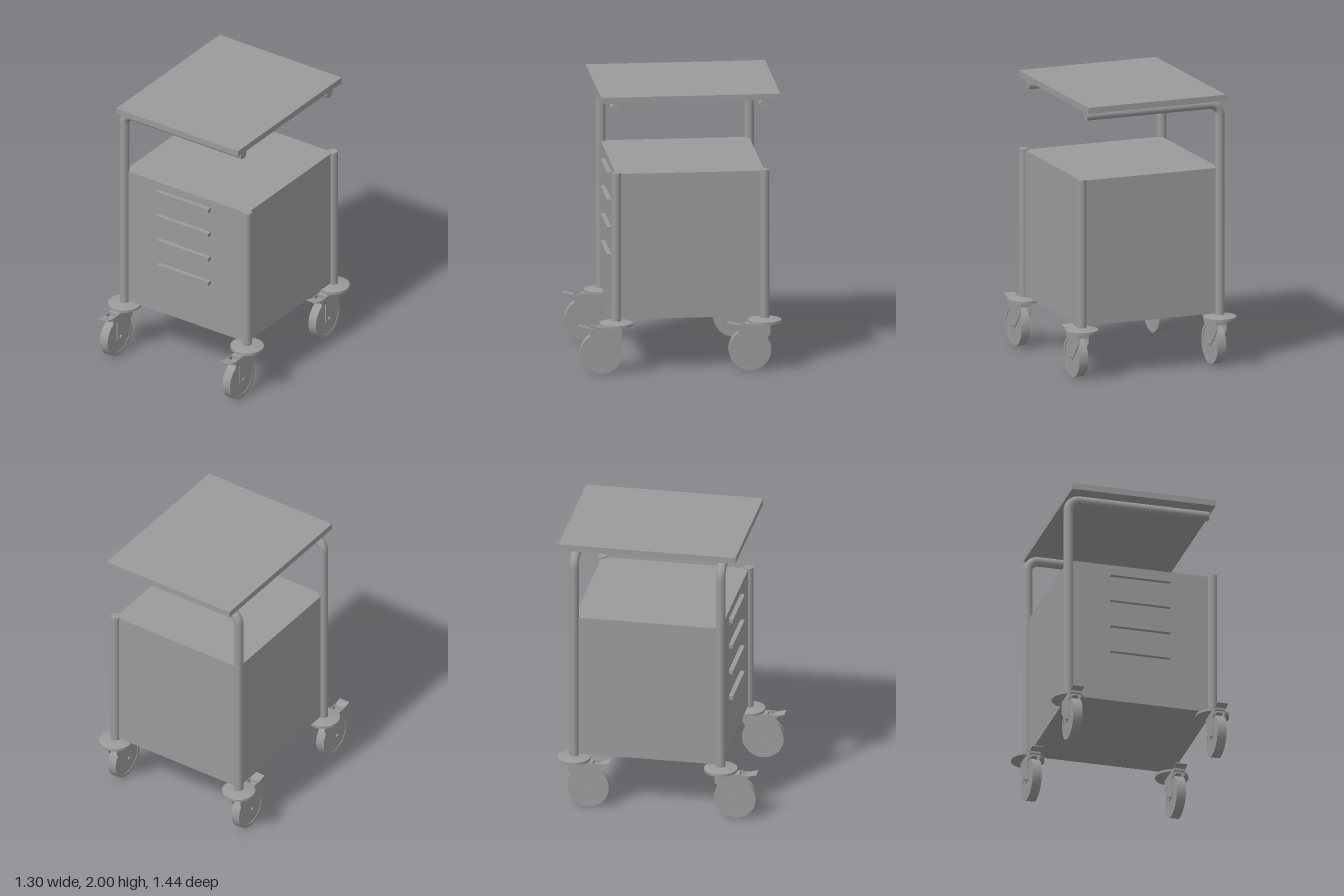
import * as THREE from 'three';
import { toCreasedNormals } from 'three/addons/utils/BufferGeometryUtils.js';

const material = new THREE.MeshStandardMaterial({ color: 0x9a9a9a });
const POST_X = 0.53, FRONT_Z = 0.453, BACK_Z = -0.604, TUBE_R = 0.034;

function add(parent, name, geometry, x = 0, y = 0, z = 0) {
  const mesh = new THREE.Mesh(geometry, material);
  mesh.name = name;
  mesh.position.set(x, y, z);
  parent.add(mesh);
  return mesh;
}

// Box given by its lower and upper corners
function block(parent, name, [x0, y0, z0], [x1, y1, z1]) {
  return add(parent, name, new THREE.BoxGeometry(x1 - x0, y1 - y0, z1 - z0),
    (x0 + x1) / 2, (y0 + y1) / 2, (z0 + z1) / 2);
}

function lathe(points, segments) {
  const profile = points.map(([r, y]) => new THREE.Vector2(r, y));
  return toCreasedNormals(new THREE.LatheGeometry(profile, segments), 0.45);
}

function extrudeSide(points, thickness) {
  const shape = new THREE.Shape(points.map(([z, y]) => new THREE.Vector2(z, y)));
  const geometry = new THREE.ExtrudeGeometry(shape, { depth: thickness, bevelEnabled: false });
  return geometry.translate(0, 0, -thickness / 2).rotateY(-Math.PI / 2);
}

// Swivel caster; the origin lies on the post axis at floor level
function createCaster() {
  const caster = new THREE.Group();
  caster.name = 'caster';
  const wheelY = 0.153, wheelZ = 0.107;

  add(caster, 'mountingDisc', lathe([
    [0, 0.34], [0.07, 0.341], [0.119, 0.348], [0.119, 0.367], [0.06, 0.38], [0, 0.382],
  ], 24));

  // Tyre with a shallow recessed hub on both sides
  add(caster, 'wheel', lathe([
    [0, -0.029], [0.124, -0.029], [0.124, -0.033], [0.15, -0.033],
    [0.15, 0.033], [0.124, 0.033], [0.124, 0.029], [0, 0.029],
  ], 32).rotateZ(Math.PI / 2), 0, wheelY, wheelZ);

  add(caster, 'axle', new THREE.CylinderGeometry(0.012, 0.012, 0.106, 12).rotateZ(Math.PI / 2),
    0, wheelY, wheelZ);

  // Fork cheeks and the bridge joining them over the wheel
  const cheek = extrudeSide([
    [-0.037, 0.342], [-0.037, 0.265], [0.077, 0.135], [0.145, 0.135],
    [0.145, 0.283], [0.19, 0.283], [0.2, 0.338],
  ], 0.007);
  for (const side of [-1, 1]) add(caster, 'forkCheek', cheek, side * 0.0375, 0, 0);
  block(caster, 'forkBridge', [-0.035, 0.308, -0.037], [0.035, 0.342, 0.14]);

  // Brake lever: crossbar, lever tongue and foot plate
  block(caster, 'brakeCrossbar', [-0.035, 0.315, 0.19], [0.035, 0.336, 0.212]);
  block(caster, 'brakeTongue', [-0.022, 0.3, 0.145], [0.022, 0.32, 0.195]);
  const pedal = add(caster, 'brakePedal', new THREE.BoxGeometry(0.082, 0.007, 0.06), 0, 0.341, 0.236);
  pedal.rotation.x = -0.25;
  return caster;
}

// Tall post that bends over into a horizontal arm under the worktop
function createBentPost(z) {
  const post = new THREE.Group();
  post.name = 'bentPost';
  const bend = 0.08, armY = 1.915, armEnd = 0.5, bottom = 0.37;
  const bendX = -POST_X + bend, bendY = armY - bend;
  add(post, 'upright', new THREE.CylinderGeometry(TUBE_R, TUBE_R, bendY - bottom, 24),
    -POST_X, (bendY + bottom) / 2, z);
  add(post, 'bend', new THREE.TorusGeometry(bend, TUBE_R, 24, 12, Math.PI / 2).rotateZ(Math.PI / 2),
    bendX, bendY, z);
  add(post, 'arm', new THREE.CylinderGeometry(TUBE_R, TUBE_R, armEnd - bendX, 24).rotateZ(Math.PI / 2),
    (armEnd + bendX) / 2, armY, z);
  return post;
}

export function createModel() {
  const model = new THREE.Group();
  model.name = 'drawerTrolley';

  block(model, 'worktop', [-0.53, 1.955, -0.717], [0.525, 2, 0.558]);
  block(model, 'cabinet', [-POST_X, 0.39, BACK_Z], [POST_X, 1.445, FRONT_Z]);

  // Drawer handles
  for (const y of [1.37, 1.173, 0.974, 0.776]) {
    block(model, 'drawerHandle', [-0.227, y - 0.015, FRONT_Z], [0.216, y + 0.015, FRONT_Z + 0.032]);
  }

  // Posts and casters at the four corners
  for (const z of [FRONT_Z, BACK_Z]) {
    model.add(createBentPost(z));
    add(model, 'shortPost', new THREE.CylinderGeometry(TUBE_R, TUBE_R, 1.085, 24), POST_X, 0.9125, z);
    for (const x of [-POST_X, POST_X]) {
      const caster = createCaster();
      caster.position.set(x, 0, z);
      model.add(caster);
    }
  }
  return model;
}
